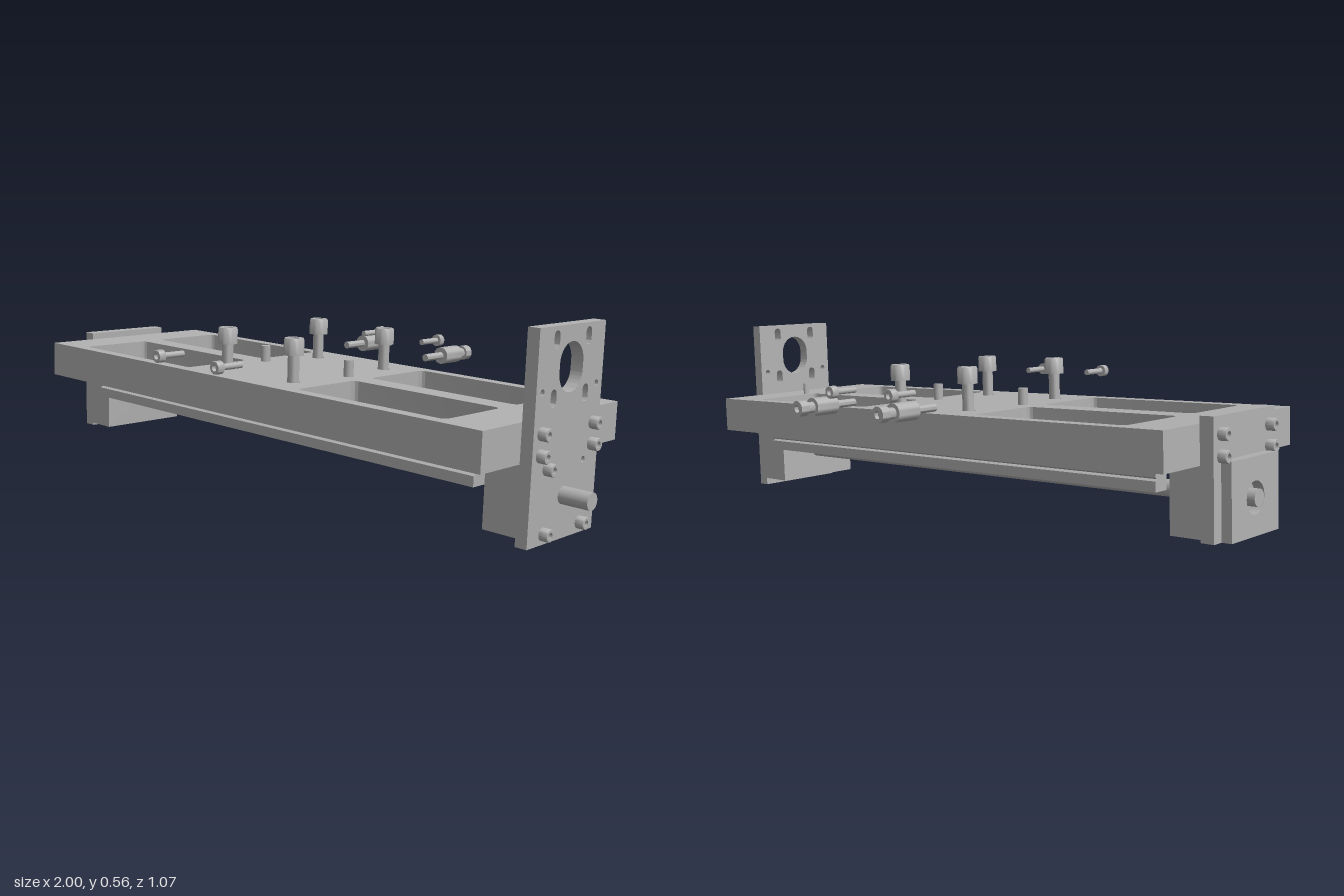
import * as THREE from 'three';
import { toCreasedNormals } from 'three/addons/utils/BufferGeometryUtils.js';

const metal = new THREE.MeshStandardMaterial({ color: 0xb0b0b0 });
metal.name = 'machined grey';

export function createModel() {
  const model = new THREE.Group();
  model.name = 'linearStage';
  // the whole stage leans slightly down to its left end
  const stage = new THREE.Group();
  stage.name = 'tiltedStage';
  stage.rotation.z = -0.0415;
  stage.position.z = 0.044;
  model.add(stage);

  const add = (name, geometry, x = 0, y = 0, z = 0) => {
    const mesh = new THREE.Mesh(geometry, metal);
    mesh.name = name;
    mesh.position.set(x, y, z);
    stage.add(mesh);
    return mesh;
  };
  const box = (name, x0, x1, y0, y1, z0, z1) =>
    add(name, new THREE.BoxGeometry(x1 - x0, y1 - y0, z1 - z0), (x0 + x1) / 2, (y0 + y1) / 2, (z0 + z1) / 2);

  // rounded rectangle, also used for circles and slots
  const rounded = (cx, cy, w, h, r, path = new THREE.Path()) => {
    const a = w / 2 - r, b = h / 2 - r;
    path.absarc(cx + a, cy + b, r, 0, Math.PI / 2);
    path.absarc(cx - a, cy + b, r, Math.PI / 2, Math.PI);
    path.absarc(cx - a, cy - b, r, Math.PI, Math.PI * 1.5);
    path.absarc(cx + a, cy - b, r, Math.PI * 1.5, Math.PI * 2);
    path.closePath();
    return path;
  };
  const circle = (x, y, r) => new THREE.Path().absarc(x, y, r, 0, Math.PI * 2);
  const rect = (x0, x1, y0, y1, holes = []) => {
    const s = new THREE.Shape([[x0, y0], [x1, y0], [x1, y1], [x0, y1]].map(p => new THREE.Vector2(...p)));
    s.holes.push(...holes);
    return s;
  };
  const extrude = (shape, depth) =>
    toCreasedNormals(new THREE.ExtrudeGeometry(shape, { depth, bevelEnabled: false, curveSegments: 8 }), 0.6);
  const slabUp = (name, shape, y0, y1) => add(name, extrude(shape, y1 - y0).rotateX(-Math.PI / 2), 0, y0);
  const slabAlong = (name, shape, x0, x1) => add(name, extrude(shape, x1 - x0).rotateY(Math.PI / 2), x0);
  const turned = points =>
    toCreasedNormals(new THREE.LatheGeometry(points.map(p => new THREE.Vector2(...p)), 24), 0.6);

  // cap screw along y: tip at 0, socket at the top
  const capScrew = (rShank, shank, rHead, head) => turned([
    [0, 0], [rShank, 0], [rShank, shank], [rHead, shank], [rHead, shank + head * 0.9],
    [rHead * 0.92, shank + head], [rHead * 0.5, shank + head],
    [rHead * 0.5, shank + head * 0.45], [0, shank + head * 0.45]]);

  // table plate: drilled floor under a frame with four pockets
  const boltX = [-0.171, 0.112], pinX = [-0.211, 0.147], sides = [-1, 1];
  const pockets = [], floorHoles = [], boltHoles = [];
  for (const s of sides) {
    for (const x of [-0.5245, 0.4635]) pockets.push(rounded(x, s * 0.155, 0.521, 0.238, 0.018));
    for (const x of [-0.59, -0.31, 0.255, 0.535]) floorHoles.push(circle(x, s * 0.163, 0.008));
    for (const x of boltX) boltHoles.push(circle(x, s * 0.198, 0.02));
  }
  slabUp('tableFloor', rect(-0.924, 0.868, -0.312, 0.312, floorHoles), 0.25, 0.298);
  slabUp('tableFrame', rect(-0.924, 0.868, -0.312, 0.312, [...pockets, ...boltHoles]), 0.298, 0.358);

  // screws and dowel pins raised above the table
  for (const x of boltX) for (const s of sides)
    add('tableScrew', capScrew(0.017, 0.09, 0.0295, 0.049), x, 0.347, s * 0.198);
  for (const x of pinX) add('dowelPin', new THREE.CylinderGeometry(0.015, 0.015, 0.05, 20), x, 0.384, 0);
  add('smallPin', new THREE.CylinderGeometry(0.008, 0.008, 0.037, 16), 0.747, 0.376, -0.057);

  // guide rails with a side groove and bolt holes underneath
  for (const s of sides) {
    const railName = s > 0 ? 'leftGuideRail' : 'rightGuideRail';
    const profile = new THREE.Shape([
      [0.145, 0.178], [0.196, 0.178], [0.196, 0.207], [0.187, 0.212], [0.196, 0.217], [0.196, 0.25], [0.145, 0.25],
    ].map(([z, y]) => new THREE.Vector2(-s * z, y)));
    slabAlong(railName, profile, -0.82, 0.765);
    for (const x of [0.55, 0.265, -0.02, -0.305, -0.59])
      add('railBoltRing', new THREE.TorusGeometry(0.013, 0.003, 6, 20).rotateX(Math.PI / 2), x, 0.178, s * 0.172);
  }

  // drive shaft and the blocks that carry it
  add('driveShaft', new THREE.CylinderGeometry(0.024, 0.024, 2, 32).rotateZ(Math.PI / 2), -0.006, 0.154, 0);
  box('leftBearingBlock', 0.768, 0.871, 0.06, 0.25, -0.152, 0.152);
  box('rightBearingBlock', -0.925, -0.833, 0.06, 0.25, -0.152, 0.152);

  // tall motor plate with window, slots and holes
  const plateHoles = [rounded(0, 0.489, 0.108, 0.131, 0.0535)];
  for (const s of sides) {
    plateHoles.push(rounded(s * 0.0735, 0.564, 0.026, 0.046, 0.0125));
    plateHoles.push(rounded(s * 0.0735, 0.415, 0.026, 0.046, 0.0125));
    plateHoles.push(circle(s * 0.125, 0.435, 0.009));
  }
  plateHoles.push(circle(0.085, 0.236, 0.009));
  slabAlong('motorPlate', rect(-0.152, 0.152, 0.037, 0.598, plateHoles), 0.871, 0.907);

  // short end plate and bored bearing cover
  slabAlong('endPlate', rect(-0.152, 0.152, 0.052, 0.378), -0.965, -0.925);
  slabAlong('bearingCover', rect(-0.117, 0.117, 0.052, 0.262, [circle(0, 0.154, 0.045)]), -0.995, -0.965);

  // screws holding both end plates
  const endScrew = (x, y, z, dir) => {
    add('endPlateScrew', capScrew(0.009, 0.02, 0.0175, 0.025), x - dir * 0.02, y, z).rotation.z = -dir * Math.PI / 2;
  };
  for (const s of sides) {
    for (const y of [0.331, 0.274]) {
      endScrew(0.907, y, s * 0.1185, 1);
      endScrew(-0.965, y, s * 0.1185, -1);
    }
    endScrew(0.907, 0.066, s * 0.085, 1);
  }
  endScrew(0.907, 0.236, 0.085, 1);

  // small screws beside the table, front and back
  for (const x of [-0.148, 0.102]) for (const s of sides) {
    const tip = s > 0 ? 0.393 : -0.394;
    add('sideScrew', capScrew(0.009, 0.076, 0.0185, 0.022), x, 0.425, tip).rotation.x = s * Math.PI / 2;
  }

  // stepped plungers behind the table
  const plunger = turned([
    [0, 0], [0.0115, 0], [0.0115, 0.08], [0.027, 0.08], [0.027, 0.16], [0.016, 0.16], [0.016, 0.188],
    [0.023, 0.188], [0.023, 0.216], [0.011, 0.216], [0.011, 0.203], [0, 0.203]]);
  for (const x of [-0.193, 0.147])
    add('plunger', plunger, x, 0.383, -0.36).rotation.x = -Math.PI / 2;

  return model;
}
